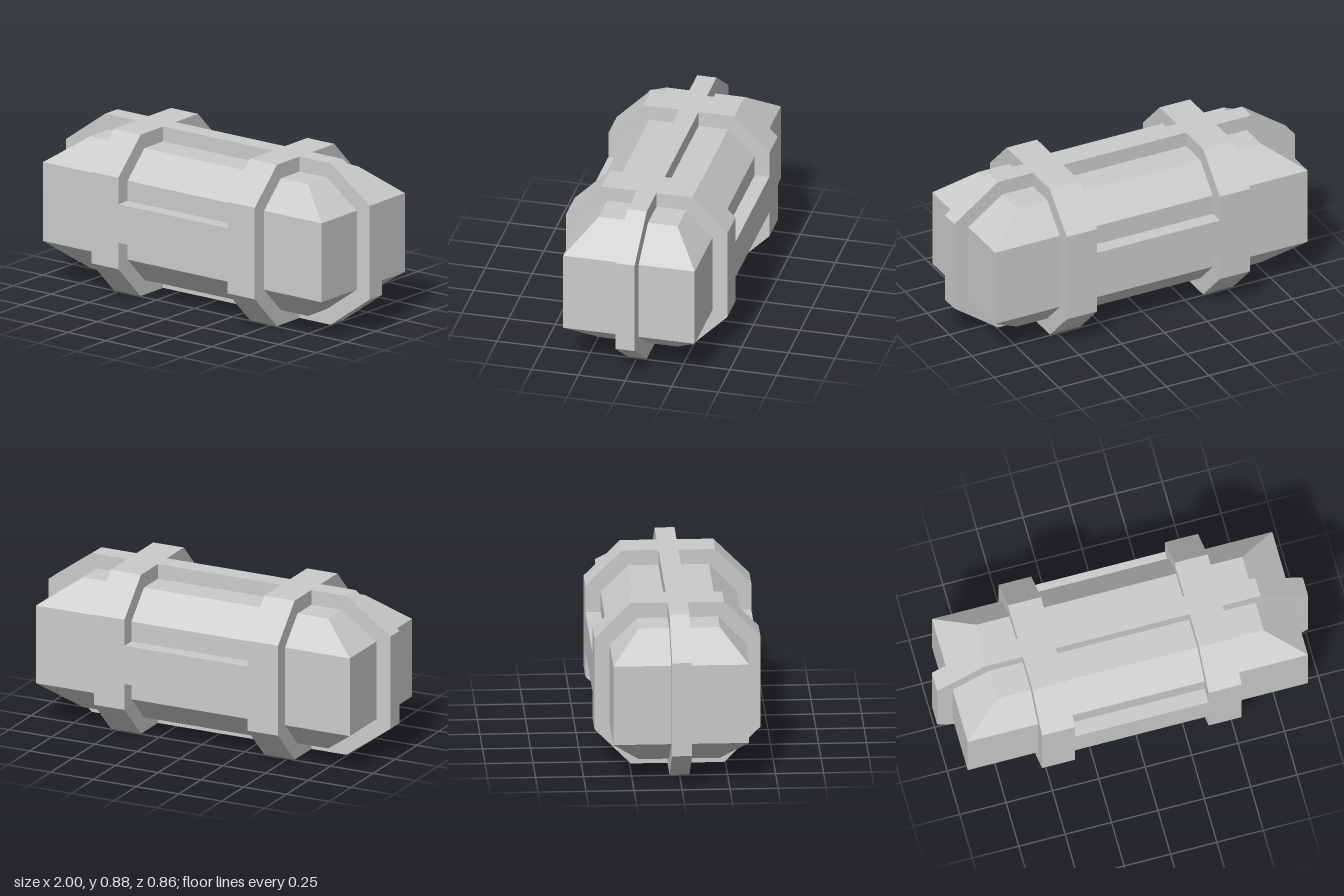
import * as THREE from 'three';

const MID = 0.4375; // height of the central axis
const material = new THREE.MeshStandardMaterial({ color: 0xcccccc, flatShading: true });

function addPart(parent, name, geometry, x = 0, y = MID, z = 0) {
  const mesh = new THREE.Mesh(geometry, material);
  mesh.name = name;
  mesh.position.set(x, y, z);
  parent.add(mesh);
  return mesh;
}

// Flat plate cut from a point outline, centred on its thickness
function plate(points, depth) {
  const shape = new THREE.Shape(points.map(([x, y]) => new THREE.Vector2(x, y)));
  return new THREE.ExtrudeGeometry(shape, { depth, bevelEnabled: false }).translate(0, 0, -depth / 2);
}

// Block whose top and bottom edges are chamfered inwards
function chamferedBody() {
  const geo = new THREE.BoxGeometry(2, 3, 2, 1, 3, 1);
  const p = geo.attributes.position;
  for (let i = 0; i < p.count; i++) {
    const y = p.getY(i);
    const outer = Math.abs(y) > 1;
    p.setXYZ(i,
      p.getX(i) * (outer ? 0.717 : 0.917),
      Math.sign(y) * (outer ? 0.357 : 0.214),
      p.getZ(i) * (outer ? 0.211 : 0.353));
  }
  const flat = geo.toNonIndexed();
  flat.computeVertexNormals();
  return flat;
}

export function createModel() {
  const model = new THREE.Group();
  model.name = 'capsuleCrate';

  addPart(model, 'body', chamferedBody());

  // Octagonal rings around the body
  const w = 0.432, f = 0.243, h = 0.4375, s = 0.248;
  const octagon = [[w, -s], [w, s], [f, h], [-f, h], [-w, s], [-w, -s], [-f, -h], [f, -h]];
  const ringGeo = plate(octagon, 0.178).rotateY(Math.PI / 2);

  // Chamfered end of the lengthwise band, outside each ring
  const endGeo = plate([[0.538, -h], [0.743, -h], [1, -0.254], [1, 0.254], [0.743, h], [0.538, h]], 0.104);

  for (const side of [1, -1]) {
    const prefix = side > 0 ? 'left' : 'right';
    addPart(model, prefix + 'Ring', ringGeo, side * 0.449);
    addPart(model, prefix + 'EndBand', endGeo).rotation.y = side > 0 ? 0 : Math.PI;
  }

  // Bars joining the two rings
  addPart(model, 'verticalBand', new THREE.BoxGeometry(0.72, 2 * h, 0.104));
  addPart(model, 'sideBars', new THREE.BoxGeometry(0.72, 0.21, 2 * w));

  return model;
}
